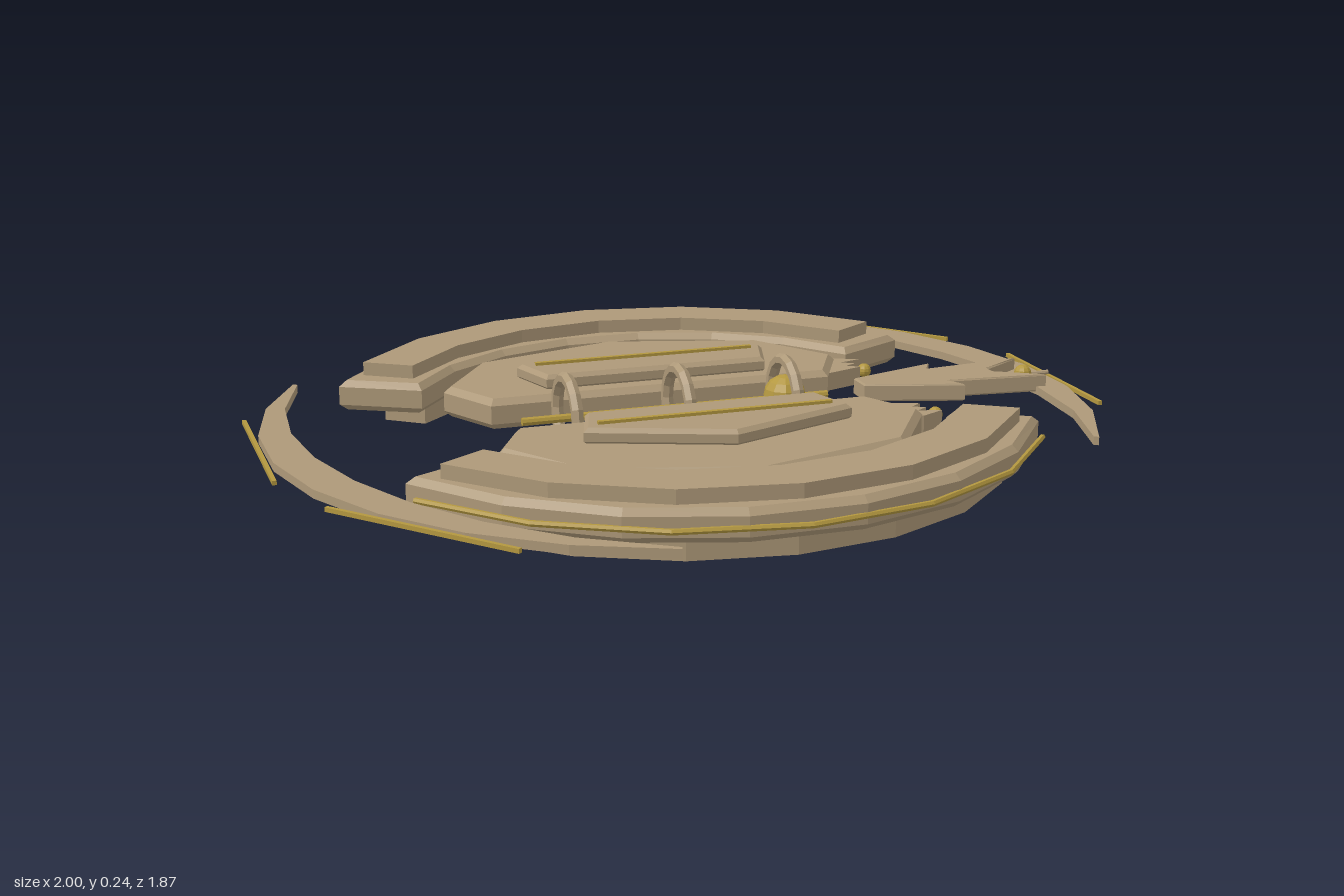
import * as THREE from 'three';

const body = new THREE.MeshStandardMaterial({ color: 0xad9878, flatShading: true });
body.name = 'tan hull';
const gold = new THREE.MeshStandardMaterial({ color: 0xb3973f, flatShading: true });
gold.name = 'dull gold';

const MID = 0.115; // height of the main plane

export function createModel() {
  const model = new THREE.Group();
  model.name = 'ringShip';

  const add = (name, geometry, material, x = 0, y = 0, z = 0) => {
    const mesh = new THREE.Mesh(geometry, material);
    mesh.name = name;
    mesh.position.set(x, y, z);
    model.add(mesh);
    return mesh;
  };

  // Horizontal slab from an [x, z] outline between two heights, with chamfered edges
  const slab = (name, points, y0, y1, bevel = 0, material = body) => {
    const shape = new THREE.Shape(points.map(([x, z]) => new THREE.Vector2(x, z)));
    const geometry = new THREE.ExtrudeGeometry(shape, {
      depth: y1 - y0 - 2 * bevel, bevelEnabled: bevel > 0, bevelSegments: 1,
      bevelSize: bevel, bevelThickness: bevel, bevelOffset: -bevel,
    });
    geometry.rotateX(Math.PI / 2);
    return add(name, geometry, material, 0, y1 - bevel, 0);
  };

  // Outline of an arc band, symmetric about the z axis
  const arcBand = (inner, outer, start, segments) => {
    const points = [];
    const at = (r, i) => {
      const a = start + (Math.PI - 2 * start) * i / segments;
      points.push([r * Math.cos(a), r * Math.sin(a)]);
    };
    for (let i = 0; i <= segments; i++) at(outer, i);
    for (let i = segments; i >= 0; i--) at(inner, i);
    return points;
  };

  // Thin rod between two points
  const rod = (name, a, b, radius, material) => {
    const from = new THREE.Vector3(...a), to = new THREE.Vector3(...b);
    const dir = to.clone().sub(from);
    const mesh = add(name, new THREE.CylinderGeometry(radius, radius, dir.length(), 8), material);
    mesh.position.copy(from).add(to).multiplyScalar(0.5);
    mesh.quaternion.setFromUnitVectors(new THREE.Vector3(0, 1, 0), dir.normalize());
    return mesh;
  };

  const ball = (name, r, x, y, z) => add(name, new THREE.SphereGeometry(r, 10, 8), gold, x, y, z);

  // Front and back halves
  const deck = [[-0.43, 0.115], [0.43, 0.115], [0.51, 0.27], [0.375, 0.48],
    [0, 0.59], [-0.375, 0.48], [-0.51, 0.27]];
  const panel = [[-0.28, 0.165], [0.28, 0.165], [0.32, 0.295], [0, 0.415], [-0.32, 0.295]];
  const claw = [[0.43, 0.14], [0.545, 0.18], [0.515, 0.2], [0.545, 0.215],
    [0.515, 0.235], [0.57, 0.25], [0.51, 0.28], [0.45, 0.27]];
  for (const s of [1, -1]) {
    const side = s > 0 ? 'front' : 'back';
    const flip = (points) => points.map(([x, z]) => [x, z * s]);

    // Arc hull in three tiers
    slab(side + 'ArcHull', flip(arcBand(0.635, 0.845, 0.5, 7)), 0.08, 0.155, 0.015);
    slab(side + 'ArcUpperTier', flip(arcBand(0.675, 0.805, 0.58, 6)), 0.15, 0.188);
    slab(side + 'ArcLowerTier', flip(arcBand(0.67, 0.78, 0.66, 6)), 0.025, 0.085);

    // Gold trim around the outside of the arc
    const trim = new THREE.TorusGeometry(0.857, 0.007, 6, 6, Math.PI - 1.1);
    trim.rotateZ(0.55);
    trim.rotateX(s * Math.PI / 2);
    add(side + 'ArcTrim', trim, gold, 0, MID, 0);

    // Deck with raised panel and gold strip
    slab(side + 'Deck', flip(deck), 0.08, 0.155, 0.015);
    slab(side + 'DeckPanel', flip(panel), 0.15, 0.19, 0.01);
    add(side + 'DeckStrip', new THREE.BoxGeometry(0.56, 0.008, 0.012), gold, 0, 0.193, s * 0.27);

    // Struts joining deck and arc
    for (const a of [-0.52, 0, 0.52]) {
      const p = (r) => [r * Math.sin(a), MID, s * r * Math.cos(a)];
      rod(side + 'Strut', p(0.54), p(0.68), 0.013, body);
    }

    // Emitter under the deck
    add(side + 'Emitter', new THREE.CylinderGeometry(0.075, 0.05, 0.075, 8), body, 0, 0.0475, s * 0.33);
    ball(side + 'EmitterLens', 0.042, 0, 0.021, s * 0.33).scale.y = 0.5;

    // Small jagged claw with its bead
    slab(side + 'Claw', flip(claw), 0.095, 0.14);
    ball(side + 'ClawBead', 0.018, 0.57, 0.12, s * 0.213);
  }

  // Central spine with rings and core
  rod('spine', [-0.385, 0.13, 0], [0.38, 0.13, 0], 0.01, gold);
  for (const x of [-0.275, 0, 0.27]) {
    const ring = new THREE.TorusGeometry(0.09, 0.015, 6, 16);
    ring.rotateY(Math.PI / 2);
    add('spineRing', ring, body, x, 0.135, 0);
  }
  ball('spineCore', 0.053, 0.27, 0.135, 0);

  // Forked boom on the left side
  const edge = [[0.465, 0.033], [0.7, 0.105], [0.675, 0.06], [0.81, 0.085],
    [0.8, 0.06], [0.93, 0.085], [0.82, 0.015]];
  edge.splice(3, 2); // single barb, then the long prong
  slab('boom', [...edge, ...edge.map(([x, z]) => [x, -z]).reverse()], 0.112, 0.155, 0.004);
  rod('boomPin', [0.8, 0.135, 0], [0.98, 0.135, 0], 0.006, body);
  ball('boomBead', 0.022, 0.91, 0.138, 0);

  // Outer crescents with gold slats, turned half a circle from each other
  for (const s of [1, -1]) {
    const side = s > 0 ? 'right' : 'left';
    const outer = [], inner = [];
    const n = 8;
    for (let i = 0; i <= n; i++) {
      const a = -0.555 + 1.81 * i / n;
      const r = 0.985 - 0.012 - 0.088 * Math.sin(Math.PI * i / n);
      outer.push([-s * 0.985 * Math.cos(a), s * 0.985 * Math.sin(a)]);
      inner.unshift([-s * r * Math.cos(a), s * r * Math.sin(a)]);
    }
    slab(side + 'Crescent', [...outer, ...inner], 0.105, 0.125);
    for (const a of [0, 0.7]) {
      const slat = add(side + 'Slat', new THREE.BoxGeometry(0.01, 0.01, 0.49), gold,
        -s * 0.993 * Math.cos(a), MID + 0.003, s * 0.993 * Math.sin(a));
      slat.rotation.y = a;
    }
  }

  return model;
}
